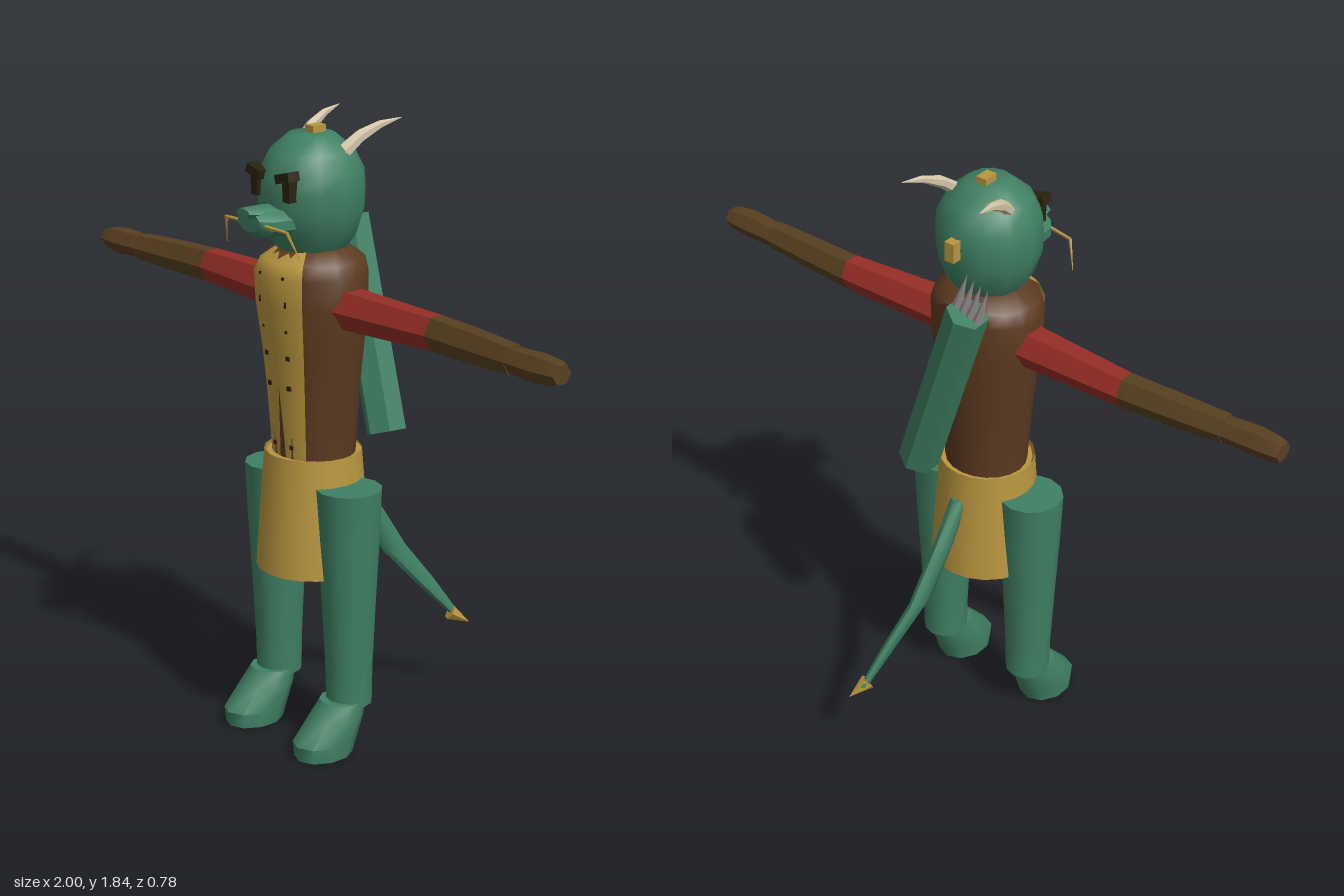
import * as THREE from 'three';
import { toCreasedNormals } from 'three/addons/utils/BufferGeometryUtils.js';

const V = (x, y, z) => new THREE.Vector3(x, y, z);

// Closed solid through elliptical rings [cx, y, cz, rx, rz], listed upward.
function loft(rings, n) {
  const pos = [], idx = [];
  rings.forEach(([cx, y, cz, rx, rz]) => {
    for (let j = 0; j < n; j++) {
      const a = (j / n) * Math.PI * 2;
      pos.push(cx + Math.sin(a) * rx, y, cz + Math.cos(a) * rz);
    }
  });
  const top = rings.length - 1;
  for (let i = 0; i < top; i++) {
    for (let j = 0; j < n; j++) {
      const k = (j + 1) % n, a = i * n, b = a + n;
      idx.push(a + j, a + k, b + k, a + j, b + k, b + j);
    }
  }
  const c = pos.length / 3;
  for (const i of [0, top]) pos.push(rings[i][0], rings[i][1], rings[i][2]);
  for (let j = 0; j < n; j++) {
    const k = (j + 1) % n;
    idx.push(c, k, j, c + 1, top * n + j, top * n + k);
  }
  const g = new THREE.BufferGeometry();
  g.setAttribute('position', new THREE.Float32BufferAttribute(pos, 3));
  g.setIndex(idx);
  return toCreasedNormals(g, 0.8);
}

// Straight tapered rod from a to b.
function rod(a, b, ra, rb, n) {
  const d = b.clone().sub(a);
  const g = new THREE.CylinderGeometry(rb, ra, d.length(), n);
  g.applyQuaternion(new THREE.Quaternion().setFromUnitVectors(V(0, 1, 0), d.normalize()));
  const m = a.clone().add(b).multiplyScalar(0.5);
  return toCreasedNormals(g.translate(m.x, m.y, m.z), 0.8);
}

export function createModel() {
  const model = new THREE.Group();
  model.name = 'dragonWarrior';
  const mat = (name, color) => {
    const m = new THREE.MeshStandardMaterial({ color });
    m.name = name;
    return m;
  };
  const green = mat('greenScales', 0x3f8063);
  const gold = mat('goldCloth', 0xb9963f);
  gold.side = THREE.DoubleSide;
  const brown = mat('brownLeather', 0x5c3a20);
  const sleeve = mat('oliveLeather', 0x584020);
  const red = mat('redSleeve', 0x962e26);
  const bone = mat('boneHorn', 0xd2c4a8);
  const steel = mat('greySpike', 0x9c9494);
  const dark = mat('darkMarking', 0x2a2110);
  const add = (name, geo, material, x = 0, y = 0, z = 0) => {
    const m = new THREE.Mesh(geo, material);
    m.name = name;
    m.position.set(x, y, z);
    model.add(m);
    return m;
  };
  const box = (w, h, d) => new THREE.BoxGeometry(w, h, d);

  // Head and muzzle
  const headProfile = [[0.085, 1.46], [0.13, 1.52], [0.152, 1.59], [0.154, 1.65], [0.15, 1.7], [0.122, 1.755], [0.065, 1.803]];
  add('head', loft(headProfile.map(([r, y]) => [0, y, 0.145, r, r]), 12), green);
  add('muzzle', loft([[0, 0.26, -1.57, 0.08, 0.045], [0, 0.34, -1.573, 0.074, 0.043], [0, 0.37, -1.58, 0.05, 0.028]], 10)
    .rotateX(Math.PI / 2), green);
  add('nose', loft([[0, 0.3, -1.6, 0.045, 0.022], [0, 0.36, -1.605, 0.036, 0.018], [0, 0.39, -1.608, 0.03, 0.013]], 8)
    .rotateX(Math.PI / 2), green);
  add('crownStud', box(0.034, 0.03, 0.048), gold, 0, 1.808, 0.13);
  add('backStud', box(0.032, 0.06, 0.035), gold, 0, 1.65, -0.017);

  // Torso with a golden front panel
  const torso = [[0.124, 0.86], [0.13, 0.95], [0.14, 1.08], [0.153, 1.2], [0.17, 1.32], [0.174, 1.41], [0.155, 1.45], [0.1, 1.485]];
  add('torso', loft(torso.map(([r, y]) => [0, y, 0.14, r, Math.min(r * 0.84 + 0.012, 0.145)]), 20), brown);
  const panelAngle = 0.62;
  const panelPoints = torso.map(([r, y]) => new THREE.Vector2(r * 1.035 + 0.004, y));
  const panel = new THREE.LatheGeometry(panelPoints, 8, -panelAngle, panelAngle * 2);
  panel.scale(1, 1, 0.87);
  add('frontPanel', panel, gold, 0, 0, 0.14);

  // Skirt
  const skirt = new THREE.CylinderGeometry(0.142, 0.168, 0.355, 20, 1, true);
  add('skirt', skirt, gold, 0, 0.705, 0.145);
  add('waistBottom', loft([[0, 0.82, 0.14, 0.13, 0.13], [0, 0.875, 0.14, 0.138, 0.138]], 20), gold);

  // Tail, built from the tip up to the base
  add('tail', loft([
    [0.075, 0.26, -0.35, 0.012, 0.016],
    [0.045, 0.38, -0.255, 0.018, 0.035],
    [0.012, 0.5, -0.16, 0.022, 0.045],
    [0, 0.66, -0.065, 0.025, 0.04],
    [0, 0.79, 0.015, 0.025, 0.03],
  ], 8), green);
  add('tailTip', rod(V(0.074, 0.265, -0.335), V(0.102, 0.225, -0.39), 0.026, 0, 6), gold);

  // Quiver slung across the back
  const low = V(0.108, 0.915, -0.043), high = V(-0.1, 1.515, -0.077);
  add('quiver', rod(low, high, 0.061, 0.061, 6), green);
  const axis = high.clone().sub(low).normalize();
  for (let i = 0; i < 4; i++) {
    const base = high.clone().add(V((i - 1.5) * 0.024, (i - 1.5) * 0.008, 0));
    add('quiverSpike', rod(base, base.clone().addScaledVector(axis, 0.125), 0.015, 0, 6), steel);
  }

  for (const s of [-1, 1]) {
    // Angry brow and eye
    add('eye', box(0.03, 0.06, 0.03), dark, s * 0.07, 1.665, 0.28);
    add('brow', box(0.06, 0.026, 0.04), dark, s * 0.064, 1.703, 0.285).rotation.z = s * 0.25;

    // Horn sweeping backwards
    add('horn', loft([
      [s * 0.09, -0.115, 1.75, 0.024, 0.026],
      [s * 0.105, -0.06, 1.795, 0.02, 0.02],
      [s * 0.12, 0, 1.823, 0.013, 0.012],
      [s * 0.135, 0.07, 1.838, 0.001, 0.001],
    ], 6).rotateX(-Math.PI / 2), bone);

    // Drooping whisker
    const w = [V(s * 0.055, 1.575, 0.355), V(s * 0.135, 1.57, 0.345), V(s * 0.165, 1.49, 0.32)];
    add('whisker', rod(w[0], w[1], 0.006, 0.005, 5), gold);
    add('whiskerEnd', rod(w[1], w[2], 0.005, 0.001, 5), gold);

    // Six-sided arm
    const limb = (name, rings, material) => add(name,
      loft(rings.map(([x, z, ry, rz]) => [0, x, z, ry, rz]), 6).rotateZ(-s * Math.PI / 2), material, 0, 1.325, 0);
    limb('upperArm', [[0.13, 0.138, 0.064, 0.064], [0.5, 0.123, 0.053, 0.047]], red);
    limb('forearm', [[0.5, 0.123, 0.053, 0.047], [0.65, 0.131, 0.05, 0.046], [0.82, 0.142, 0.043, 0.042]], sleeve);
    limb('hand', [[0.82, 0.142, 0.037, 0.04], [0.92, 0.146, 0.042, 0.042], [0.98, 0.145, 0.036, 0.037], [1, 0.145, 0.03, 0.033]], sleeve);

    // Leg and foot
    const x = s * 0.163;
    add('leg', loft([[0.068, 0.14], [0.07, 0.25], [0.08, 0.45], [0.091, 0.65], [0.097, 0.8]]
      .map(([r, y]) => [x, y, 0.147, r, r]), 12), green);
    add('foot', loft([
      [x, 0, 0.245, 0.074, 0.093],
      [x, 0.045, 0.24, 0.078, 0.104],
      [x, 0.11, 0.197, 0.074, 0.086],
      [x, 0.155, 0.175, 0.067, 0.066],
    ], 10), green);

    // Stud marks on the front panel
    for (const [y, size, px, z] of [[1.415, 0.008, 0.05, 0.29], [1.34, 0.018, 0.05, 0.286], [1.26, 0.009, 0.05, 0.279],
      [1.18, 0.013, 0.046, 0.272], [1.09, 0.013, 0.042, 0.266], [0.91, 0.012, 0.036, 0.253]]) {
      add('panelStud', box(size, size, 0.009), dark, s * px, y, z);
    }
  }
  return model;
}
